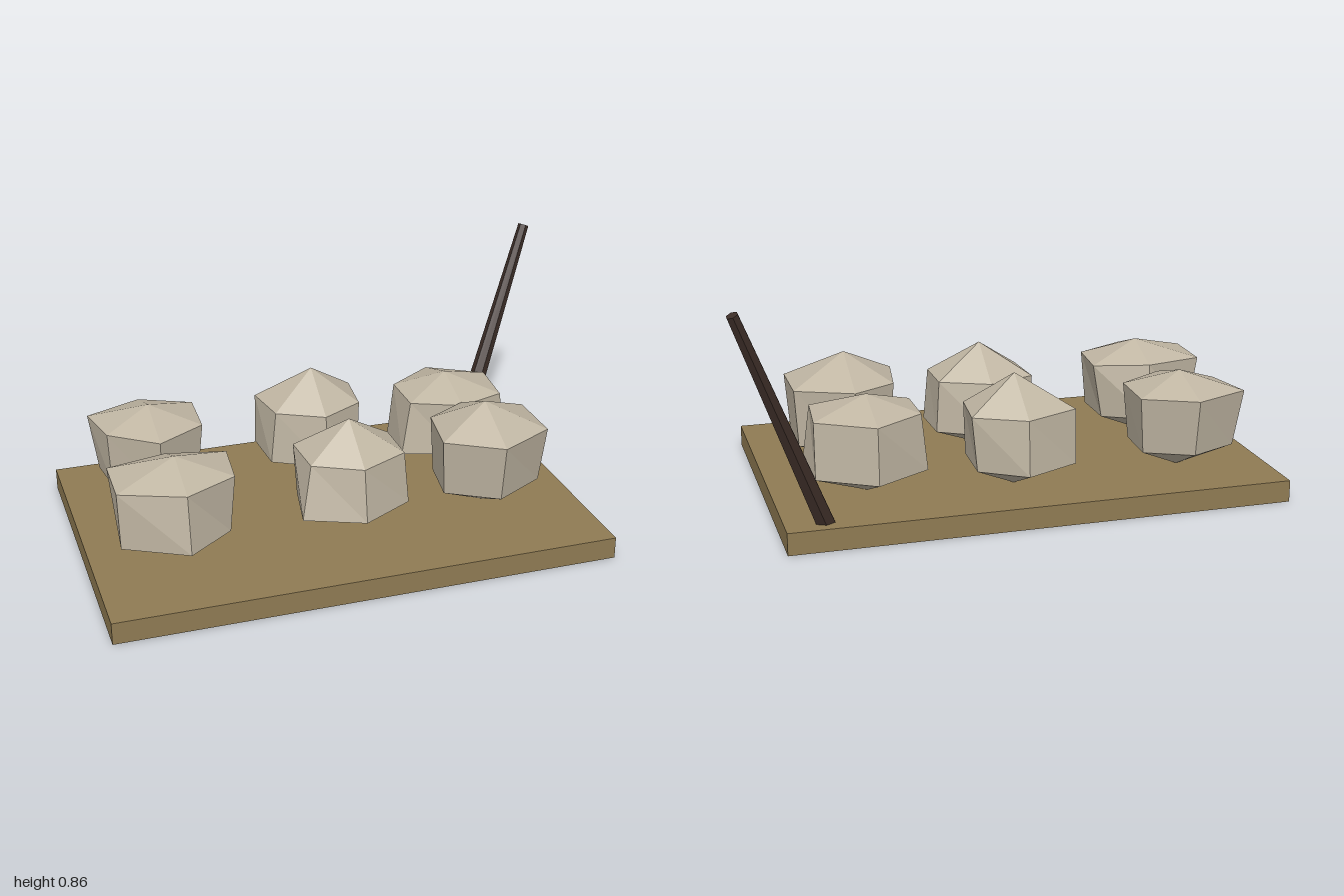
import * as THREE from 'three';

const wood = new THREE.MeshStandardMaterial({ color: 0x8f7b53, flatShading: true });
wood.name = 'tan board';
const stone = new THREE.MeshStandardMaterial({ color: 0xc0b6a3, flatShading: true });
stone.name = 'pale stone';
const dark = new THREE.MeshStandardMaterial({ color: 0x3d2e28, flatShading: true });
dark.name = 'dark wood';

// Six-sided stone: apex, irregular upper and lower rings (x, z clockwise from the back), foot
function stoneGeometry({ apex, upper, lower, upperY = 0.37, lowerY = 0.165 }) {
  const [ax, ay, az] = apex;
  const top = new THREE.Vector3(ax, ay, az);
  const foot = new THREE.Vector3(ax, 0.078, az);
  const u = upper.map(([x, z]) => new THREE.Vector3(x, upperY, z));
  const l = lower.map(([x, z]) => new THREE.Vector3(x, lowerY, z));
  const points = [];
  for (let i = 0; i < 6; i++) {
    const j = (i + 1) % 6;
    points.push(top, u[j], u[i]);
    points.push(u[j], l[j], l[i], u[j], l[i], u[i]);
    points.push(foot, l[i], l[j]);
  }
  const geometry = new THREE.BufferGeometry().setFromPoints(points);
  geometry.computeVertexNormals();
  return geometry;
}

const stones = {
  backRightStone: {
    apex: [-0.68, 0.44, -0.24], upperY: 0.375,
    upper: [[-0.68, -0.44], [-0.49, -0.35], [-0.5, -0.14], [-0.68, -0.03], [-0.85, -0.16], [-0.89, -0.35]],
    lower: [[-0.68, -0.41], [-0.51, -0.33], [-0.52, -0.15], [-0.68, -0.05], [-0.84, -0.17], [-0.86, -0.33]],
  },
  frontRightStone: {
    apex: [-0.68, 0.44, 0.21], upperY: 0.375,
    upper: [[-0.68, 0.05], [-0.47, 0.1], [-0.49, 0.3], [-0.68, 0.4], [-0.905, 0.31], [-0.9, 0.1]],
    lower: [[-0.68, 0.02], [-0.51, 0.11], [-0.51, 0.3], [-0.68, 0.43], [-0.9, 0.31], [-0.87, 0.11]],
  },
  backMiddleStone: {
    apex: [-0.04, 0.49, -0.27], upperY: 0.365,
    upper: [[-0.04, -0.45], [0.14, -0.36], [0.12, -0.17], [-0.04, -0.08], [-0.21, -0.17], [-0.24, -0.36]],
    lower: [[-0.04, -0.465], [0.12, -0.36], [0.11, -0.16], [-0.04, -0.06], [-0.23, -0.17], [-0.24, -0.37]],
  },
  frontMiddleStone: {
    apex: [-0.04, 0.48, 0.19], upperY: 0.36,
    upper: [[-0.04, 0.02], [0.14, 0.1], [0.14, 0.28], [-0.04, 0.37], [-0.21, 0.28], [-0.22, 0.09]],
    lower: [[-0.04, -0.01], [0.15, 0.1], [0.155, 0.29], [-0.04, 0.4], [-0.25, 0.31], [-0.21, 0.1]],
  },
  backLeftStone: {
    apex: [0.48, 0.435, -0.2], upperY: 0.37,
    upper: [[0.48, -0.4], [0.68, -0.28], [0.66, -0.07], [0.48, -0.01], [0.3, -0.09], [0.3, -0.28]],
    lower: [[0.48, -0.41], [0.68, -0.29], [0.69, -0.08], [0.48, -0.01], [0.265, -0.08], [0.28, -0.29]],
  },
  frontLeftStone: {
    apex: [0.48, 0.48, 0.2], upperY: 0.38,
    upper: [[0.48, -0.02], [0.69, 0.07], [0.69, 0.3], [0.48, 0.41], [0.285, 0.29], [0.32, 0.07]],
    lower: [[0.48, 0], [0.675, 0.08], [0.675, 0.27], [0.48, 0.38], [0.3, 0.27], [0.33, 0.08]],
  },
};

export function createModel() {
  const model = new THREE.Group();
  model.name = 'stonesOnBoard';

  // Flat board
  const board = new THREE.Mesh(new THREE.BoxGeometry(1.82, 0.08, 1.165), wood);
  board.name = 'board';
  board.position.set(-0.09, 0.04, 0.05);
  model.add(board);

  // Stones in two rows of three
  for (const [name, spec] of Object.entries(stones)) {
    const mesh = new THREE.Mesh(stoneGeometry(spec), stone);
    mesh.name = name;
    model.add(mesh);
  }

  // Leaning tapered handle at the back corner
  const start = new THREE.Vector3(0.669, 0.05, -0.454);
  const end = new THREE.Vector3(0.976, 0.852, -0.61);
  const axis = end.clone().sub(start);
  const handle = new THREE.Mesh(new THREE.CylinderGeometry(0.021, 0.036, axis.length(), 6), dark);
  handle.name = 'handle';
  handle.position.copy(start).add(end).multiplyScalar(0.5);
  handle.quaternion.setFromUnitVectors(new THREE.Vector3(0, 1, 0), axis.normalize());
  model.add(handle);

  return model;
}
